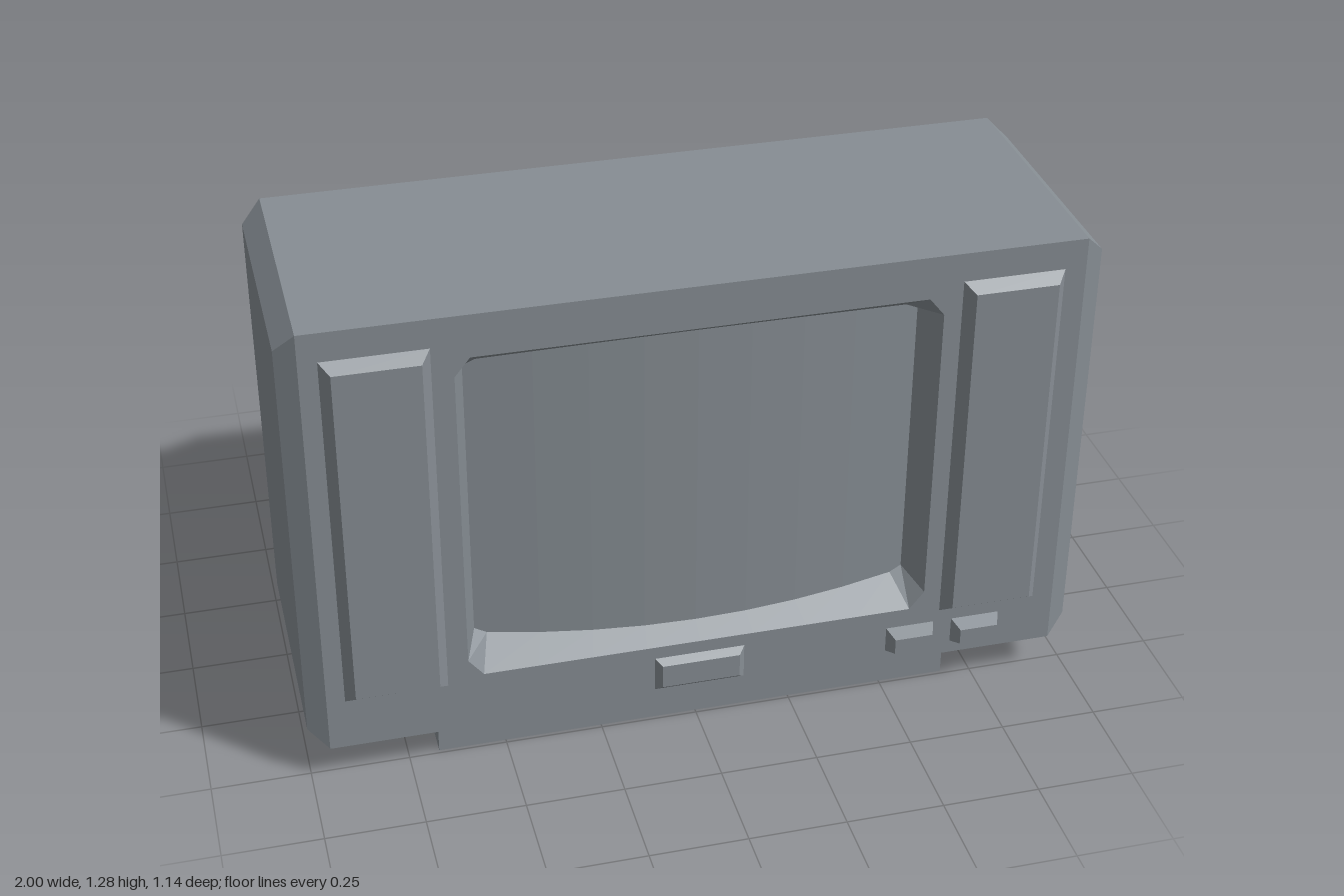
import * as THREE from 'three';

const grey = new THREE.MeshStandardMaterial({ color: 0x868d93 });
grey.name = 'casing grey';

// Flat-shaded faces from quads, corners counter-clockwise seen from outside
function quads(name, list) {
  const pos = [];
  for (const [a, b, c, d] of list) pos.push(...a, ...b, ...c, ...a, ...c, ...d);
  const g = new THREE.BufferGeometry();
  g.setAttribute('position', new THREE.Float32BufferAttribute(pos, 3));
  g.computeVertexNormals();
  return named(name, g);
}

function named(name, geometry) {
  const mesh = new THREE.Mesh(geometry, grey);
  mesh.name = name;
  return mesh;
}

const mirrorQuad = (q) => q.map(([x, y, z]) => [-x, y, z]).reverse();
const rect = (x0, x1, y0, y1, z) => [[x0, y0, z], [x1, y0, z], [x1, y1, z], [x0, y1, z]];
// Quads joining two matching closed loops
const join = (a, b) => a.map((p, i) => {
  const j = (i + 1) % a.length;
  return [p, a[j], b[j], b[i]];
});

// Flat plate facing +z with one hole
function plate(name, outline, hole, z) {
  const v = (p) => new THREE.Vector2(p[0], p[1]);
  const shape = new THREE.Shape(outline.map(v));
  shape.holes.push(new THREE.Path(hole.map(v)));
  const g = new THREE.ShapeGeometry(shape);
  g.translate(0, 0, z);
  return named(name, g);
}

// Raised block with sloping edges on the front
function raised(name, x0, x1, y0, y1, inset, z) {
  const foot = rect(x0, x1, y0, y1, FRONT);
  const top = rect(x0 + inset, x1 - inset, y0 + inset, y1 - inset, z);
  return quads(name, [...join(foot, top), top]);
}

const FRONT = 0.535, REAR = -0.155, BACK = -0.57;
const W = 0.95, Y0 = 0.097, Y1 = 1.285;

export function createModel() {
  const group = new THREE.Group();

  // Casing: top, bottom, chamfered sides and tapered rear
  const front = rect(-W, W, Y0, Y1, FRONT);
  const rear = rect(-W, W, Y0, Y1, REAR);
  const back = rect(-0.5, 0.5, 0.165, 1.015, BACK);
  const outer = [[W, Y0, FRONT], [W, Y0, REAR], [W, Y1, REAR], [W, Y1, FRONT]];
  const inner = [[1, 0.145, 0.505], [1, 0.145, -0.125], [1, 1.235, -0.125], [1, 1.235, 0.505]];
  const side = [...join(outer, inner), inner];
  const sleeve = join(rear, front);
  group.add(quads('casing', [sleeve[0], sleeve[2], ...side, ...side.map(mirrorQuad)]));
  group.add(quads('rearHousing', join(back, rear)));

  // Back panel with a recessed socket box (turned to face -z)
  const panel = new THREE.Group();
  panel.name = 'backPanel';
  const socket = rect(-0.01, 0.42, 0.225, 0.5, -BACK);
  const socketFloor = rect(-0.01, 0.42, 0.225, 0.5, -BACK - 0.08);
  panel.add(plate('backPlate', rect(-0.5, 0.5, 0.165, 1.015, 0), socket, -BACK));
  panel.add(quads('socketRecess', [...join(socket, socketFloor), socketFloor]));
  panel.rotation.y = Math.PI;
  group.add(panel);

  // Screen opening: sloping surround that meets a bulging screen
  const N = 8, midY = 0.7145;
  const rim = [], edge = [], low = [], high = [];
  for (const s of [-1, 1]) {
    for (let i = 0; i <= N; i++) {
      const u = (-1 + 2 * i / N) * -s;
      const depth = 0.05 + 0.04 * u * u;
      rim.push([0.556 * u, midY + s * 0.4575, FRONT]);
      const p = [0.53 * u, midY + s * (0.4575 - 0.66 * depth), FRONT - depth];
      edge.push(p);
      (s < 0 ? low : high).push(p);
    }
    for (const t of [s, -s]) {
      rim.push([-s * 0.594, midY + t * 0.41, FRONT]);
      edge.push([-s * 0.561, midY + t * 0.383, FRONT - 0.094]);
    }
  }
  group.add(plate('frontPanel', front, rim, FRONT));
  group.add(quads('screenSurround', join(rim, edge)));
  high.reverse();
  const screen = [];
  for (let i = 0; i < N; i++) screen.push([low[i], low[i + 1], high[i + 1], high[i]]);
  const tip = (x, t) => [x, midY + t * 0.383, FRONT - 0.094];
  const strip = [low[N], tip(0.561, -1), tip(0.561, 1), high[N]];
  screen.push(strip, mirrorQuad(strip));
  group.add(quads('screen', screen));

  // Speaker panels, catch and buttons
  group.add(raised('rightSpeaker', -0.904, -0.647, 0.238, 1.209, 0.024, 0.565));
  group.add(raised('leftSpeaker', 0.639, 0.896, 0.238, 1.209, 0.024, 0.565));
  group.add(raised('frontCatch', -0.118, 0.116, 0.125, 0.222, 0.016, 0.552));
  for (const x of [0.497, 0.674]) {
    group.add(raised('button', x, x + 0.128, 0.134, 0.205, 0.014, 0.572));
  }

  // Plinth
  const plinth = named('plinth', new THREE.BoxGeometry(1.345, 0.1, 0.6));
  plinth.position.set(0, 0.05, 0.19);
  group.add(plinth);

  return group;
}
